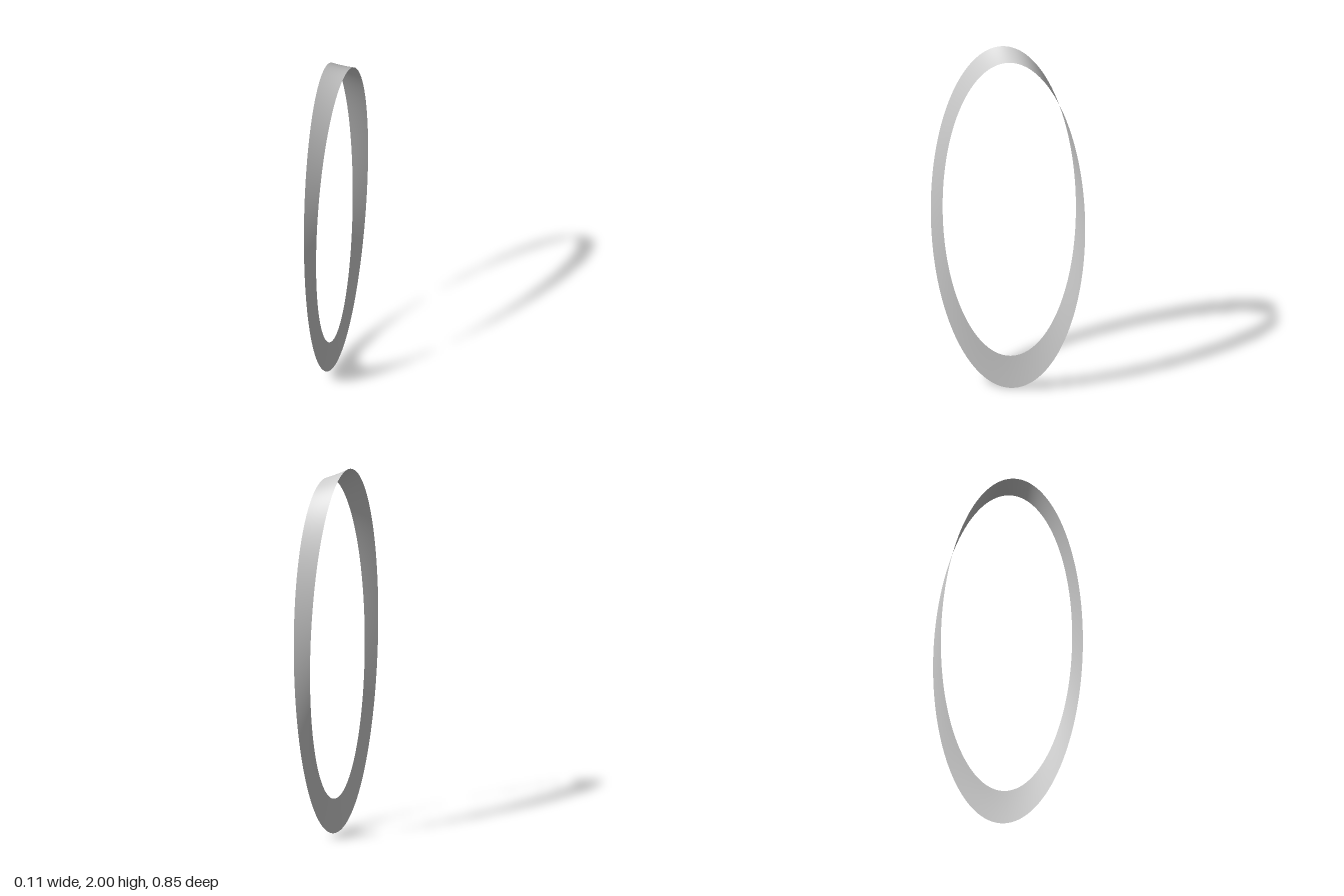
import * as THREE from 'three';

const AROUND = 240, ACROSS = 6;
const CENTRE_Y = 1.0365, RADIUS_Y = 0.9415, RADIUS_Z = 0.39;
const RADIAL_HALF = 0.101; // half width in the ring's plane, as a share of the radii
const SIDE_HALF = 0.053;   // half width along x

// Point on the band: u runs once round from the bottom, v from -1 to 1 across
function bandPoint(u, v) {
  // half a turn in all, slower at the bottom and faster past the top
  const twist = u / 2 + THREE.MathUtils.degToRad(7 * (Math.cos(u) - 1) - 14 * Math.sin(u));
  const r = 1 + v * RADIAL_HALF * Math.cos(twist);
  return [
    -v * SIDE_HALF * Math.sin(twist),
    CENTRE_Y - RADIUS_Y * r * Math.cos(u),
    RADIUS_Z * r * Math.sin(u),
  ];
}

export function createModel() {
  const positions = [], indices = [];
  for (let i = 0; i <= AROUND; i++) {
    for (let j = 0; j <= ACROSS; j++) {
      positions.push(...bandPoint((i / AROUND) * Math.PI * 2, (j / ACROSS) * 2 - 1));
      if (i < AROUND && j < ACROSS) {
        const a = i * (ACROSS + 1) + j, b = a + ACROSS + 1;
        indices.push(a, b, a + 1, b, b + 1, a + 1);
      }
    }
  }

  // One-sided oval band with a half twist
  const geometry = new THREE.BufferGeometry();
  geometry.setAttribute('position', new THREE.Float32BufferAttribute(positions, 3));
  geometry.setIndex(indices);
  geometry.computeVertexNormals();

  const band = new THREE.Mesh(
    geometry,
    new THREE.MeshStandardMaterial({ color: 0xcccccc, side: THREE.DoubleSide })
  );
  band.name = 'twistedBand';

  const group = new THREE.Group();
  group.name = 'twistedRing';
  group.add(band);
  return group;
}
